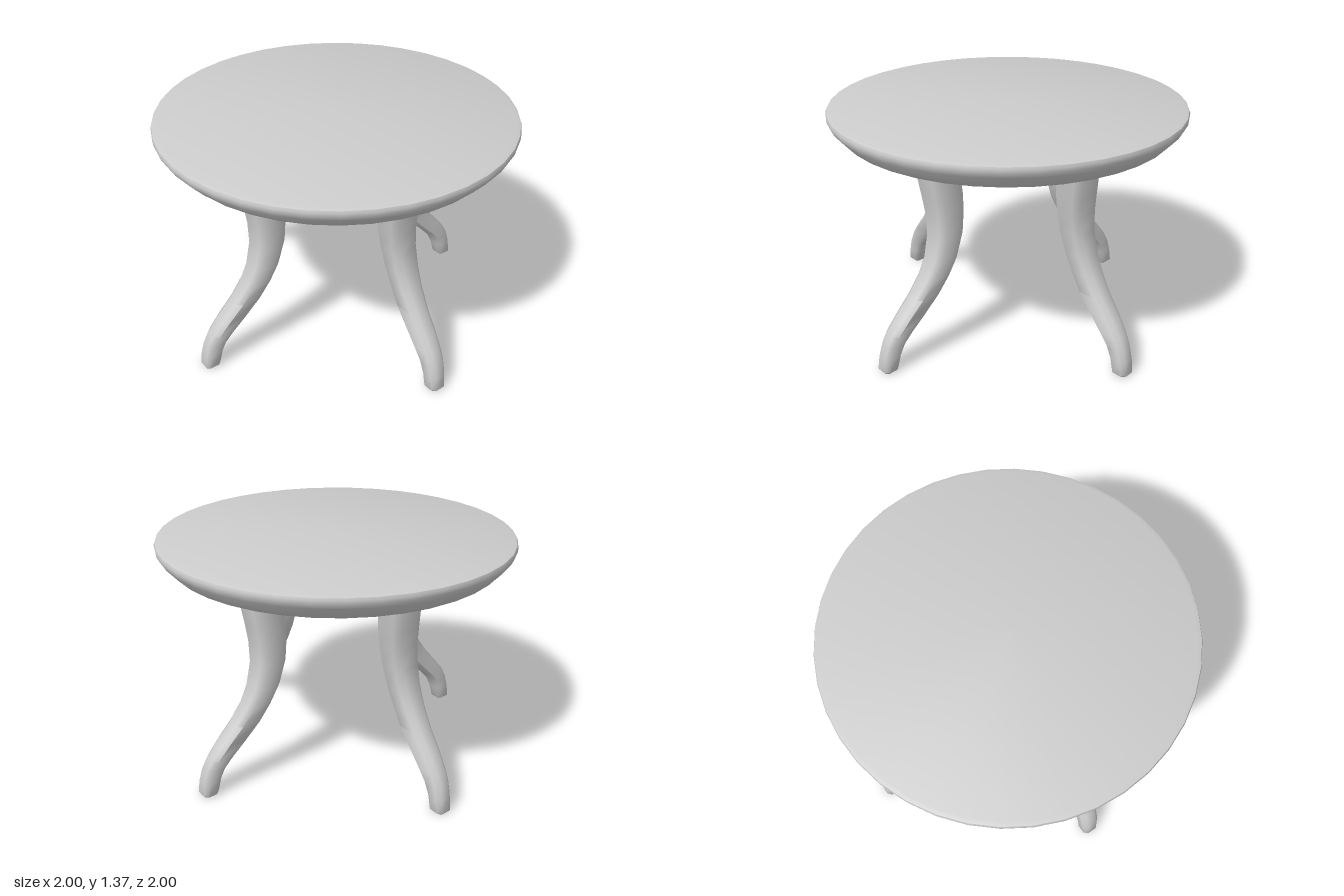
import * as THREE from 'three';
import { toCreasedNormals } from 'three/addons/utils/BufferGeometryUtils.js';

const material = new THREE.MeshStandardMaterial({ color: 0xcccccc });

// Leg sections from foot to top: [y, inner radius, outer radius, side min, side max, chamfer]
const LEG = [
  [0.0, 0.88, 0.96, -0.04, 0.04, 0.015],
  [0.012, 0.872, 0.967, -0.054, 0.05, 0.022],
  [0.09, 0.85, 0.957, -0.053, 0.054, 0.025],
  [0.16, 0.815, 0.937, -0.051, 0.058, 0.026],
  [0.22, 0.76, 0.905, -0.048, 0.064, 0.027],
  [0.3, 0.68, 0.843, -0.042, 0.076, 0.028],
  [0.4, 0.585, 0.755, -0.036, 0.09, 0.03],
  [0.5, 0.52, 0.683, -0.033, 0.106, 0.031],
  [0.6, 0.47, 0.632, -0.036, 0.118, 0.032],
  [0.73, 0.43, 0.597, -0.046, 0.123, 0.033],
  [0.85, 0.417, 0.593, -0.06, 0.122, 0.034],
  [0.95, 0.417, 0.603, -0.072, 0.118, 0.034],
  [1.08, 0.425, 0.622, -0.084, 0.108, 0.034],
  [1.17, 0.433, 0.631, -0.092, 0.098, 0.034],
  [1.228, 0.445, 0.635, -0.058, 0.062, 0.034],
];

// Lofts chamfered rectangles along the leg and closes both ends
function legGeometry() {
  const pos = [], idx = [], n = 8;
  for (const [y, r0, r1, s0, s1, c] of LEG) {
    const ring = [
      [s0 + c, r1], [s1 - c, r1], [s1, r1 - c], [s1, r0 + c],
      [s1 - c, r0], [s0 + c, r0], [s0, r0 + c], [s0, r1 - c],
    ];
    for (const [x, z] of ring) pos.push(x, y, z);
  }
  const last = (LEG.length - 1) * n;
  for (let i = 0; i < last; i += n) {
    for (let j = 0; j < n; j++) {
      const a = i + j, b = i + (j + 1) % n;
      idx.push(a, b, b + n, a, b + n, a + n);
    }
  }
  for (let j = 1; j < n - 1; j++) {
    idx.push(0, j + 1, j);
    idx.push(last, last + j, last + j + 1);
  }
  const geo = new THREE.BufferGeometry();
  geo.setAttribute('position', new THREE.Float32BufferAttribute(pos, 3));
  geo.setIndex(idx);
  return toCreasedNormals(geo, 0.95);
}

export function createModel() {
  const model = new THREE.Group();
  model.name = 'roundTable';

  // Round top with an undercut, softened rim
  const profile = [
    [0, 1.222], [0.905, 1.222], [0.925, 1.233], [0.985, 1.3], [0.998, 1.325],
    [1, 1.345], [0.995, 1.358], [0.975, 1.365], [0, 1.365],
  ].map(([r, y]) => new THREE.Vector2(r, y));
  const top = new THREE.Mesh(
    toCreasedNormals(new THREE.LatheGeometry(profile, 40), 0.7), material);
  top.name = 'tableTop';
  model.add(top);

  // Four splayed legs, each a quarter turn from the last
  const geo = legGeometry();
  ['frontLeg', 'leftLeg', 'backLeg', 'rightLeg'].forEach((name, i) => {
    const leg = new THREE.Mesh(geo, material);
    leg.name = name;
    leg.rotation.y = i * Math.PI / 2;
    model.add(leg);
  });
  return model;
}
